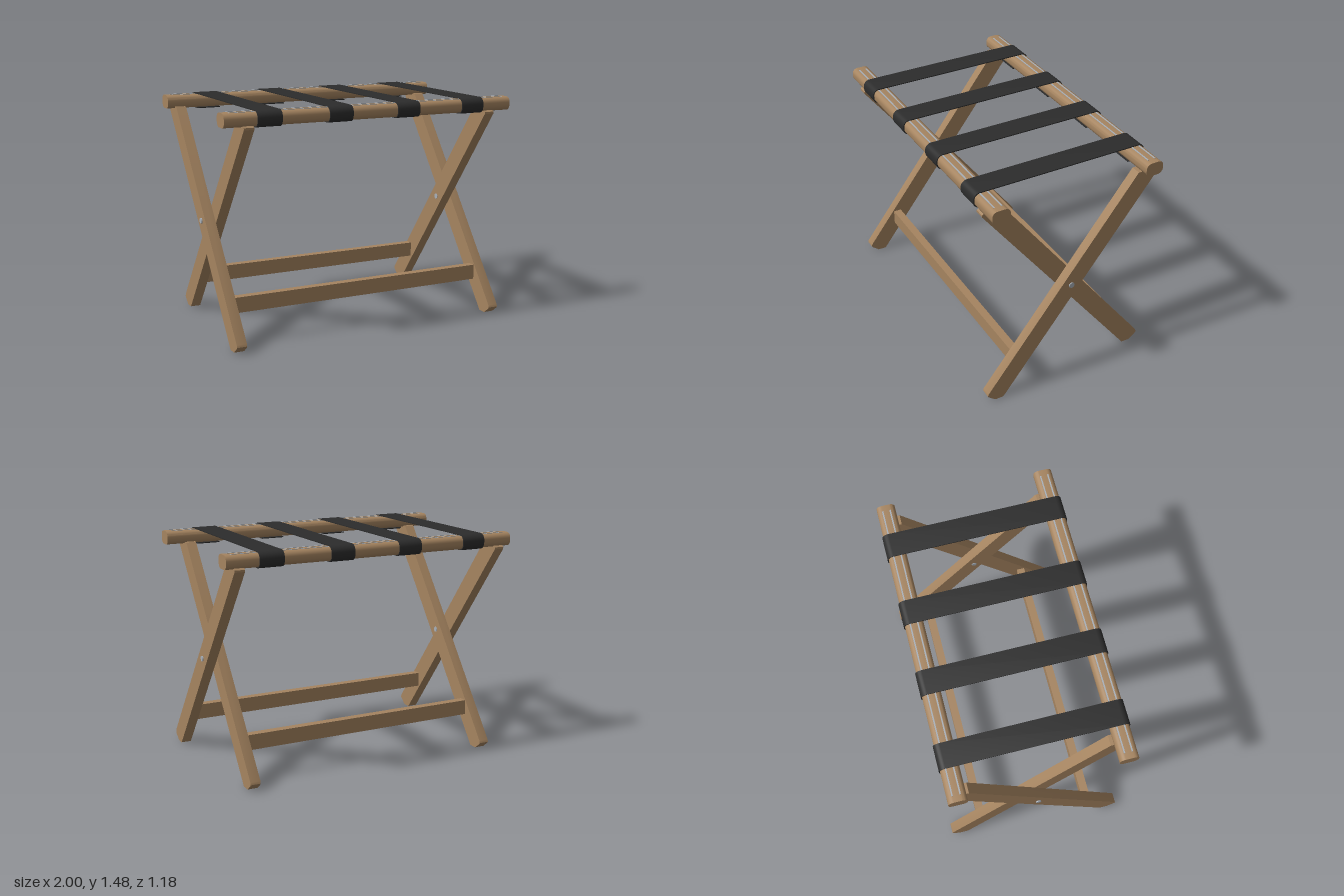
import * as THREE from 'three';
import { toCreasedNormals } from 'three/addons/utils/BufferGeometryUtils.js';

const RAIL = { inner: 0.463, outer: 0.582, bottom: 1.388, top: 1.476, r: 0.035 };

// Extrude a list of [z, y] points along x, centred on x = 0
function extrudeX(points, width) {
  const shape = new THREE.Shape(points.map(([z, y]) => new THREE.Vector2(z, y)));
  const geo = new THREE.ExtrudeGeometry(shape, { depth: width, bevelEnabled: false });
  geo.translate(0, 0, -width / 2).rotateY(-Math.PI / 2);
  return toCreasedNormals(geo, 0.5);
}

// Points on a quarter circle starting at angle a0
function corner(z, y, r, a0, steps = 6) {
  return Array.from({ length: steps + 1 }, (_, i) => {
    const a = a0 + (i / steps) * Math.PI / 2;
    return [z + r * Math.cos(a), y + r * Math.sin(a)];
  });
}

export function createModel() {
  const model = new THREE.Group();
  model.name = 'foldingLuggageRack';
  const wood = new THREE.MeshStandardMaterial({ color: 0xa58460 });
  wood.name = 'wood';
  const webbing = new THREE.MeshStandardMaterial({ color: 0x2c2c2c });
  webbing.name = 'black webbing';
  const metal = new THREE.MeshStandardMaterial({ color: 0xa9b0b8 });
  metal.name = 'metal';

  function add(name, geo, mat, x = 0, y = 0, z = 0) {
    const mesh = new THREE.Mesh(geo, mat);
    mesh.name = name;
    mesh.position.set(x, y, z);
    model.add(mesh);
    return mesh;
  }

  const { inner, outer, bottom, top, r } = RAIL;
  const H = Math.PI / 2;

  // Side profile of a leg: flat foot with a clipped toe, slanted up to the opposite rail
  const legProfile = [
    [0.477, 0], [0.535, 0], [0.58, 0.036], [0.588, 0.046], [0.584, 0.062],
    [-0.446, 1.4], [-0.56, 1.4], [-0.58, 1.385], [-0.58, 1.372],
  ];
  // Rounded profile of a top rail
  const railProfile = [
    ...corner(outer - r, bottom + r, r, -H),
    ...corner(outer - r, top - r, r, 0),
    ...corner(inner + r, top - r, r, H),
    ...corner(inner + r, bottom + r, r, 2 * H),
  ];

  for (const s of [1, -1]) {
    const end = s > 0 ? 'front' : 'back';
    const flip = (pts) => pts.map(([z, y]) => [z * s, y]);

    // Outer legs stand in front, inner legs behind
    const legX = s > 0 ? 0.915 : 0.843;
    for (const side of [1, -1]) {
      add(s > 0 ? 'outerLeg' : 'innerLeg', extrudeX(flip(legProfile), 0.067), wood, side * legX);
    }

    // Top rail with two inlaid metal strips
    add(end + 'Rail', extrudeX(flip(railProfile), 2), wood);
    for (const z of [0.499, 0.547]) {
      add(end + 'RailStrip', new THREE.BoxGeometry(1.92, 0.004, 0.009), metal, 0, top, s * z);
    }

    // Lower stretcher between the matching pair of legs
    add(end + 'Stretcher', new THREE.BoxGeometry(s > 0 ? 1.77 : 1.63, 0.1, 0.054),
      wood, 0, 0.25, s > 0 ? 0.364 : -0.371);
  }

  // Strap cross-section: wraps over both rails and tucks underneath
  const half = (o) => [
    [0.475, bottom - o],
    ...corner(outer - r, bottom + r, r + o, -H),
    ...corner(outer - r, top - r, r + o, 0),
  ];
  const mirror = (pts) => pts.map(([z, y]) => [-z, y]);
  const strapProfile = [
    ...half(0.007), ...mirror(half(0.007)).reverse(),
    ...mirror(half(0.001)), ...half(0.001).reverse(),
  ];
  const strapGeo = extrudeX(strapProfile, 0.16);
  const screwGeo = new THREE.CylinderGeometry(0.008, 0.008, 0.006, 12);
  for (const x of [-0.71, -0.237, 0.237, 0.71]) {
    add('strap', strapGeo, webbing, x);
    // Screws holding the strap ends under the rails
    for (const z of [-0.51, 0.51]) {
      for (const dx of [-0.045, 0.045]) add('strapScrew', screwGeo, metal, x + dx, bottom - 0.008, z);
    }
  }

  // Pivot bolts through each pair of crossing legs
  const boltGeo = new THREE.CylinderGeometry(0.018, 0.018, 0.15, 20).rotateZ(H);
  for (const side of [1, -1]) add('pivotBolt', boltGeo, metal, side * 0.881, 0.718, 0);

  return model;
}
